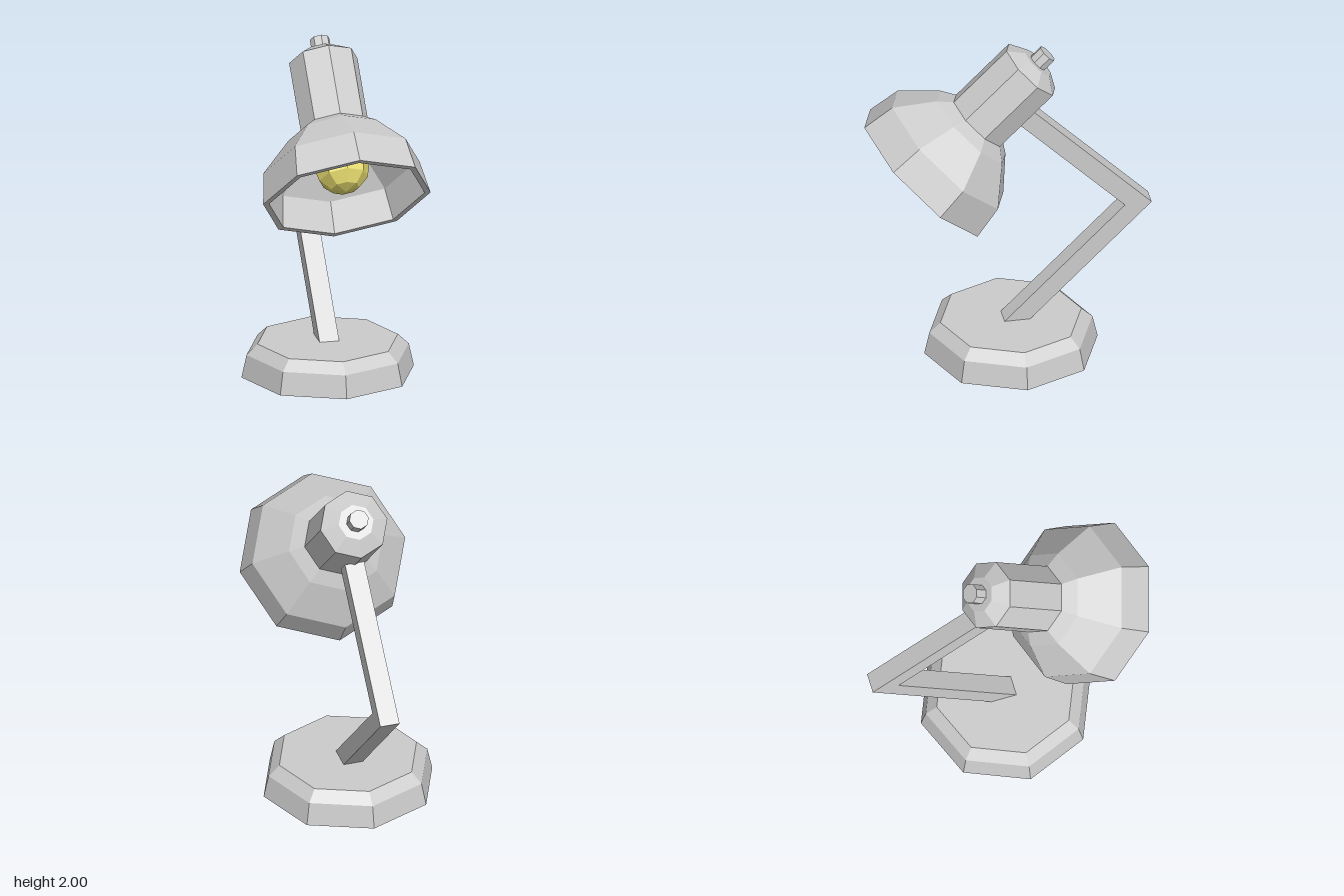
import * as THREE from 'three';

const SIDES = 8;

function material(color = 0xcccccc) {
  return new THREE.MeshStandardMaterial({ color, flatShading: true });
}

function part(name, geometry, mat) {
  const mesh = new THREE.Mesh(geometry, mat);
  mesh.name = name;
  return mesh;
}

// Faceted solid of revolution from [radius, height] pairs
function turned(points, sides = SIDES) {
  return new THREE.LatheGeometry(points.map(([r, y]) => new THREE.Vector2(r, y)), sides);
}

export function createModel() {
  const model = new THREE.Group();
  model.name = 'deskLamp';
  const grey = material();

  // Whole lamp is turned slightly on its base
  const lamp = new THREE.Group();
  lamp.name = 'lamp';
  lamp.position.set(0.04, 0, -0.02);
  lamp.rotation.y = -THREE.MathUtils.degToRad(10);
  model.add(lamp);

  // Heavy base with a bevelled top edge
  lamp.add(part('base', turned([[0, 0], [0.51, 0], [0.48, 0.135], [0.415, 0.197], [0, 0.197]]), grey));

  // Bent square arm, drawn in profile (forward, up)
  const armShape = new THREE.Shape([
    [0.095, 0.15], [-0.66, 0.905], [-0.048, 1.517],
    [-0.129, 1.598], [-0.817, 0.91], [-0.057, 0.15],
  ].map(([z, y]) => new THREE.Vector2(z, y)));
  const width = 0.116;
  const armGeometry = new THREE.ExtrudeGeometry(armShape, { depth: width, bevelEnabled: false });
  armGeometry.translate(0, 0, -width / 2).rotateY(-Math.PI / 2);
  lamp.add(part('arm', armGeometry, grey));

  // Head: everything turned around one axis tilted 45 degrees
  const head = new THREE.Group();
  head.name = 'head';
  head.position.set(0, 0.87, 0.87);
  head.rotation.x = -Math.PI / 4;
  lamp.add(head);

  // Hollow shade: inner wall down to the rim, then outer wall up
  head.add(part('shade', turned([
    [0, 0.93], [0.17, 0.93], [0.25, 0.875], [0.425, 0.695], [0.46, 0.506],
    [0.495, 0.506], [0.462, 0.705], [0.284, 0.901], [0.2, 0.958],
  ]), grey));

  // Socket housing with chamfered end
  head.add(part('housing', turned([[0.202, 0.95], [0.202, 1.396], [0.105, 1.455], [0, 1.455]]), grey));

  // Switch knob
  head.add(part('knob', turned([[0.058, 1.44], [0.058, 1.535], [0, 1.535]]), grey));

  // Bulb and its stem
  head.add(part('bulbStem', turned([[0.07, 0.84], [0.07, 0.94]]), grey));
  const bulb = part('bulb', new THREE.SphereGeometry(0.165, SIDES, 6), material(0xe8de70));
  bulb.position.y = 0.714;
  head.add(bulb);

  return model;
}
